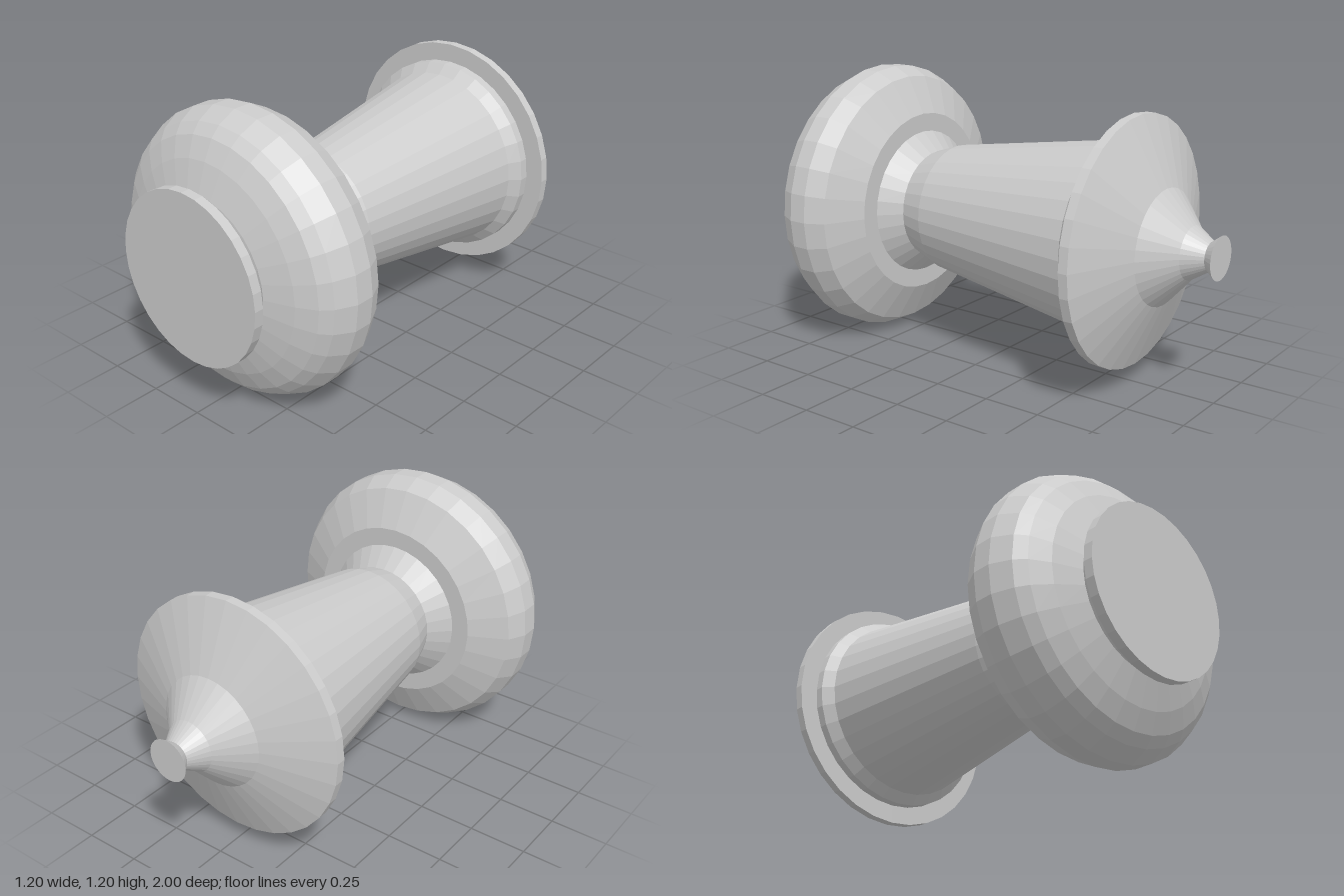
import * as THREE from 'three';

// Turned profiles as [radius, z], running from the back tip to the front foot.
const PARTS = {
  finial: [[0, -1], [0.09, -1], [0.06, -0.96], [0.11, -0.88]],
  cap: [[0.11, -0.88], [0.24, -0.76], [0.52, -0.64], [0.52, -0.6], [0.44, -0.6]],
  collar: [[0.44, -0.6], [0.44, -0.56], [0.4, -0.52]],
  shaft: [[0.4, -0.52], [0.28, 0.28], [0.24, 0.4]],
  neck: [[0.24, 0.4], [0.32, 0.48]],
  bulb: [[0.32, 0.48], [0.4, 0.48], [0.56, 0.56], [0.6, 0.64], [0.6, 0.72],
    [0.56, 0.8], [0.52, 0.84], [0.44, 0.88], [0.32, 0.92]],
  foot: [[0.32, 0.92], [0.36, 0.96], [0.36, 1], [0, 1]],
};
const SIDES = 32;

export function createModel() {
  const model = new THREE.Group();
  model.name = 'turnedKnob';
  const material = new THREE.MeshStandardMaterial({ color: 0xcccccc, flatShading: true });

  // Each section is lathed, then laid down so its axis runs along z.
  for (const [name, profile] of Object.entries(PARTS)) {
    const points = profile.map(([r, z]) => new THREE.Vector2(r, z));
    const geometry = new THREE.LatheGeometry(points, SIDES);
    geometry.rotateX(Math.PI / 2);
    geometry.translate(0, 0.6, 0);
    const mesh = new THREE.Mesh(geometry, material);
    mesh.name = name;
    model.add(mesh);
  }
  return model;
}
